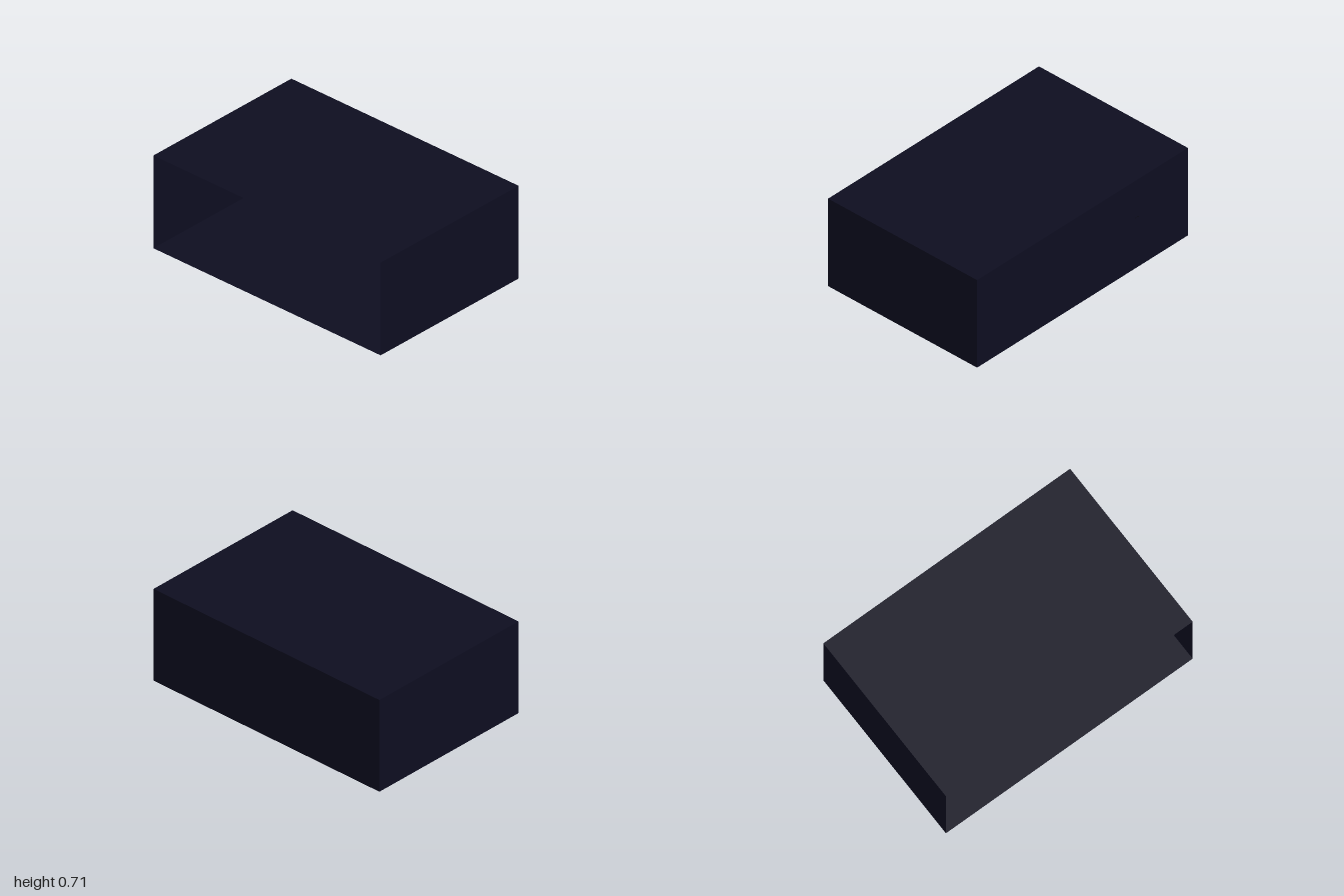
import * as THREE from 'three';

const mat = (name, color, extra = {}) => {
  const m = new THREE.MeshStandardMaterial({ color, ...extra });
  m.name = name;
  return m;
};

export function createModel() {
  const wall = mat('midnight wall', 0x0d0d20, { side: THREE.DoubleSide });
  const black = mat('black desk', 0x08080c);
  const grey = mat('slate panel', 0x242430);
  const dark = mat('charcoal casing', 0x141419);
  const blue = mat('navy keys', 0x17173a);
  const book = mat('book grey', 0x1d1d24);

  const root = new THREE.Group();
  root.name = 'deskRoom';
  const group = (name, x = 0, y = 0, z = 0) => {
    const g = new THREE.Group();
    g.name = name;
    g.position.set(x, y, z);
    root.add(g);
    return g;
  };
  const add = (parent, name, geo, m, x, y, z) => {
    const mesh = new THREE.Mesh(geo, m);
    mesh.name = name;
    mesh.position.set(x, y, z);
    parent.add(mesh);
    return mesh;
  };
  const box = (parent, name, w, h, d, m, x, y, z) =>
    add(parent, name, new THREE.BoxGeometry(w, h, d), m, x, y, z);
  const cyl = (parent, name, r0, r1, h, m, x, y, z) =>
    add(parent, name, new THREE.CylinderGeometry(r0, r1, h, 20), m, x, y, z);

  // Room shell, open at the front
  const Y0 = 0.007, Y1 = 0.706, W = 2, D = 1.32, H = Y1 - Y0;
  const room = group('room');
  add(room, 'floor', new THREE.PlaneGeometry(W, D), wall, 0, Y0, 0).rotation.x = -Math.PI / 2;
  add(room, 'ceiling', new THREE.PlaneGeometry(W, D), wall, 0, Y1, 0).rotation.x = -Math.PI / 2;
  add(room, 'backWall', new THREE.PlaneGeometry(W, H), wall, 0, (Y0 + Y1) / 2, -D / 2);
  for (const s of [-1, 1]) {
    add(room, s > 0 ? 'leftWall' : 'rightWall', new THREE.PlaneGeometry(D, H), wall,
      s * W / 2, (Y0 + Y1) / 2, 0).rotation.y = s * Math.PI / 2;
  }

  // Desk
  const desk = group('desk');
  const top = 0.178;
  box(desk, 'deskTop', 0.71, 0.011, 0.3, black, -0.055, top - 0.0055, -0.38);
  for (const x of [-0.387, 0.277])
    for (const z of [-0.246, -0.512])
      box(desk, 'deskLeg', 0.01, 0.168, 0.01, black, x, 0.084, z);

  // Monitor
  const monitor = group('monitor', -0.093, top, -0.44);
  box(monitor, 'monitorCasing', 0.3, 0.21, 0.014, dark, 0, 0.164, 0);
  box(monitor, 'screen', 0.296, 0.206, 0.002, grey, 0, 0.164, 0.008);
  box(monitor, 'monitorNeck', 0.042, 0.07, 0.012, dark, 0, 0.04, -0.012);
  box(monitor, 'monitorFoot', 0.1, 0.006, 0.07, dark, 0, 0.003, 0);

  // Keyboard, mouse and mug
  const input = group('inputDevices', 0, top, -0.3);
  box(input, 'keyboard', 0.22, 0.006, 0.07, dark, -0.09, 0.003, 0);
  for (let r = 0; r < 4; r++)
    box(input, 'keyRow', 0.21, 0.003, 0.012, blue, -0.09, 0.0075, -0.024 + r * 0.016);
  add(input, 'mouse', new THREE.SphereGeometry(0.014, 16, 10), dark, 0.05, 0.008, 0)
    .scale.set(0.8, 0.7, 1.4);
  cyl(input, 'mug', 0.012, 0.011, 0.026, book, 0.243, 0.013, -0.02);
  add(input, 'mugHandle', new THREE.TorusGeometry(0.007, 0.002, 8, 16), book, 0.257, 0.013, -0.02);
  const pen = cyl(input, 'pen', 0.004, 0.004, 0.055, black, 0.24, 0.045, -0.02);
  pen.rotation.z = 0.5;

  // Computer tower, turned a little towards the seat
  const tower = group('computerTower', 0.17, top, -0.41);
  tower.rotation.y = -0.28;
  box(tower, 'towerCase', 0.083, 0.21, 0.19, dark, 0, 0.105, 0);
  box(tower, 'towerFront', 0.082, 0.208, 0.003, grey, 0, 0.105, 0.096);
  cyl(tower, 'powerButton', 0.014, 0.014, 0.004, dark, 0, 0.17, 0.098).rotation.x = Math.PI / 2;

  // Desk lamp
  const lamp = group('deskLamp', -0.325, top, -0.42);
  cyl(lamp, 'lampBase', 0.026, 0.03, 0.01, dark, 0, 0.005, 0);
  const path = new THREE.CatmullRomCurve3([[0, 0.008], [-0.008, 0.06], [0.02, 0.1], [0.055, 0.13]]
    .map(([x, y]) => new THREE.Vector3(x, y, 0)));
  add(lamp, 'lampArm', new THREE.TubeGeometry(path, 20, 0.004, 8), dark, 0, 0, 0);
  cyl(lamp, 'lampShade', 0.009, 0.021, 0.03, book, 0.062, 0.127, 0).rotation.z = 0.6;

  // Stacked books on the desk
  const stack = group('bookStack', -0.372, top, -0.36);
  for (let i = 0; i < 3; i++)
    box(stack, 'stackedBook', 0.075 - i * 0.005, 0.01, 0.1, i % 2 ? dark : book, 0, 0.005 + i * 0.01, 0);

  // Wall shelf with upright books
  const shelf = group('wallShelf', -0.41, 0.41, -0.615);
  box(shelf, 'shelfBoard', 0.25, 0.008, 0.09, black, 0, -0.004, 0);
  for (let i = 0; i < 4; i++)
    box(shelf, 'shelfBook', 0.02, 0.047 - (i % 2) * 0.004, 0.06, book, -0.083 + i * 0.027, 0.0235 - (i % 2) * 0.002, 0);

  // Wall posters
  const posters = group('posters', 0, 0, -0.655);
  box(posters, 'tallPoster', 0.125, 0.152, 0.006, grey, -0.347, 0.545, 0);
  box(posters, 'widePoster', 0.166, 0.112, 0.006, grey, 0.24, 0.54, 0);

  return root;
}
